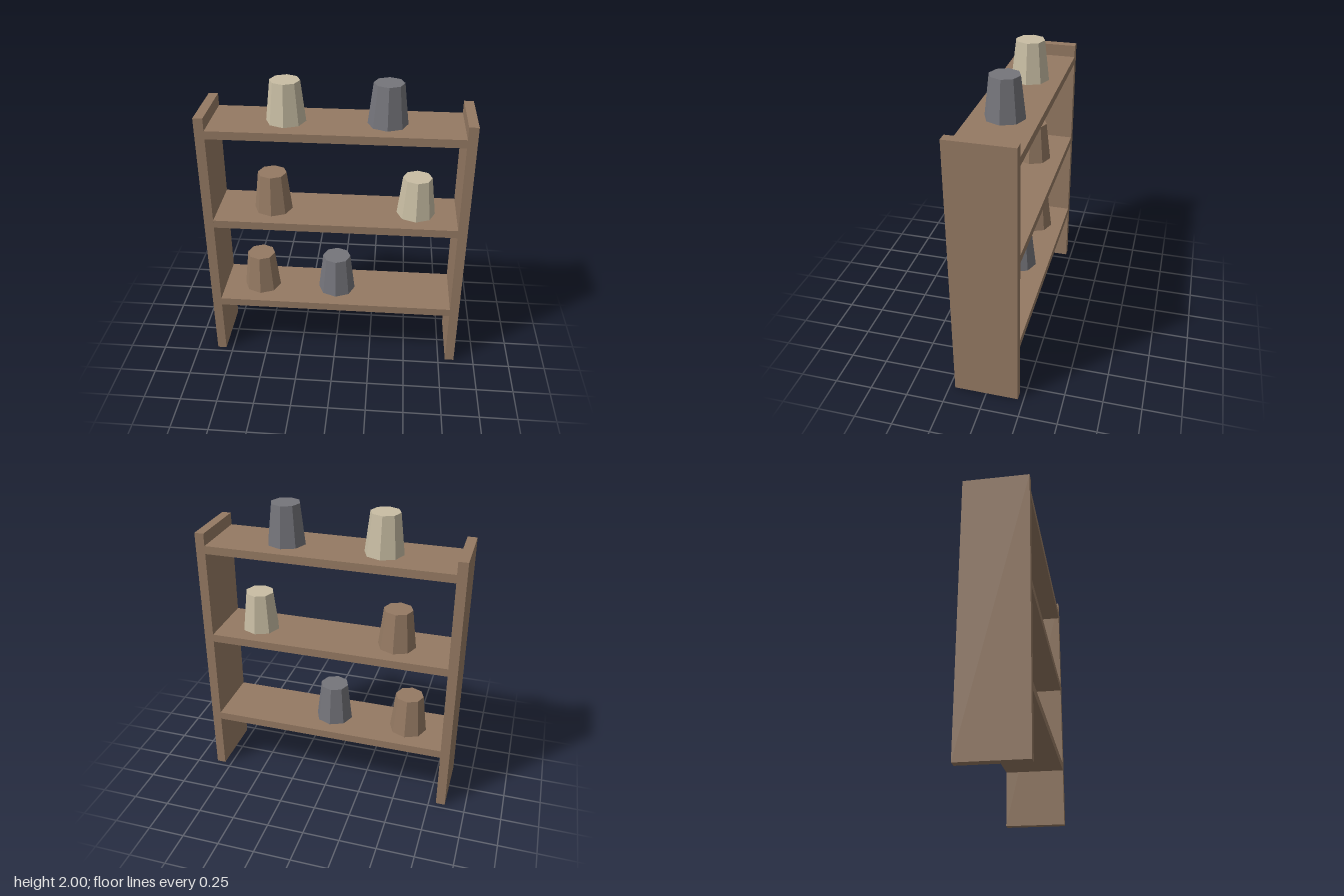
import * as THREE from 'three';

export function createModel() {
  const model = new THREE.Group();
  const material = (name, color) => {
    const m = new THREE.MeshStandardMaterial({ color, flatShading: true });
    m.name = name;
    return m;
  };
  const wood = material('brown wood', 0x957a63);
  const cream = material('cream', 0xc9bea4);
  const grey = material('slate grey', 0x75757b);

  const add = (name, geometry, mat, x, y, z = 0) => {
    const mesh = new THREE.Mesh(geometry, mat);
    mesh.name = name;
    mesh.position.set(x, y, z);
    model.add(mesh);
  };

  const depth = 0.425;
  const panelHeight = 1.815;
  const panelWidth = 0.062;
  const shelfThickness = 0.054;

  // Upright side panels
  const panel = new THREE.BoxGeometry(panelWidth, panelHeight, depth);
  add('leftPanel', panel, wood, 0.831, panelHeight / 2);
  add('rightPanel', panel, wood, -0.831, panelHeight / 2);

  // Shelves, each with its row of upturned eight-sided cups
  const shelf = new THREE.BoxGeometry(1.6, shelfThickness, depth);
  const cupHeight = 0.267;
  const cup = new THREE.CylinderGeometry(0.096, 0.128, cupHeight, 8);
  const rows = [
    { name: 'bottom', top: 0.453, cups: [[-0.535, wood], [0, grey]] },
    { name: 'middle', top: 1.094, cups: [[-0.428, wood], [0.53, cream]] },
    { name: 'top', top: 1.733, cups: [[-0.321, cream], [0.321, grey]] },
  ];
  for (const { name, top, cups } of rows) {
    add(`${name}Shelf`, shelf, wood, 0, top - shelfThickness / 2);
    cups.forEach(([x, mat], i) => add(`${name}Cup${i + 1}`, cup, mat, x, top + cupHeight / 2));
  }

  return model;
}
